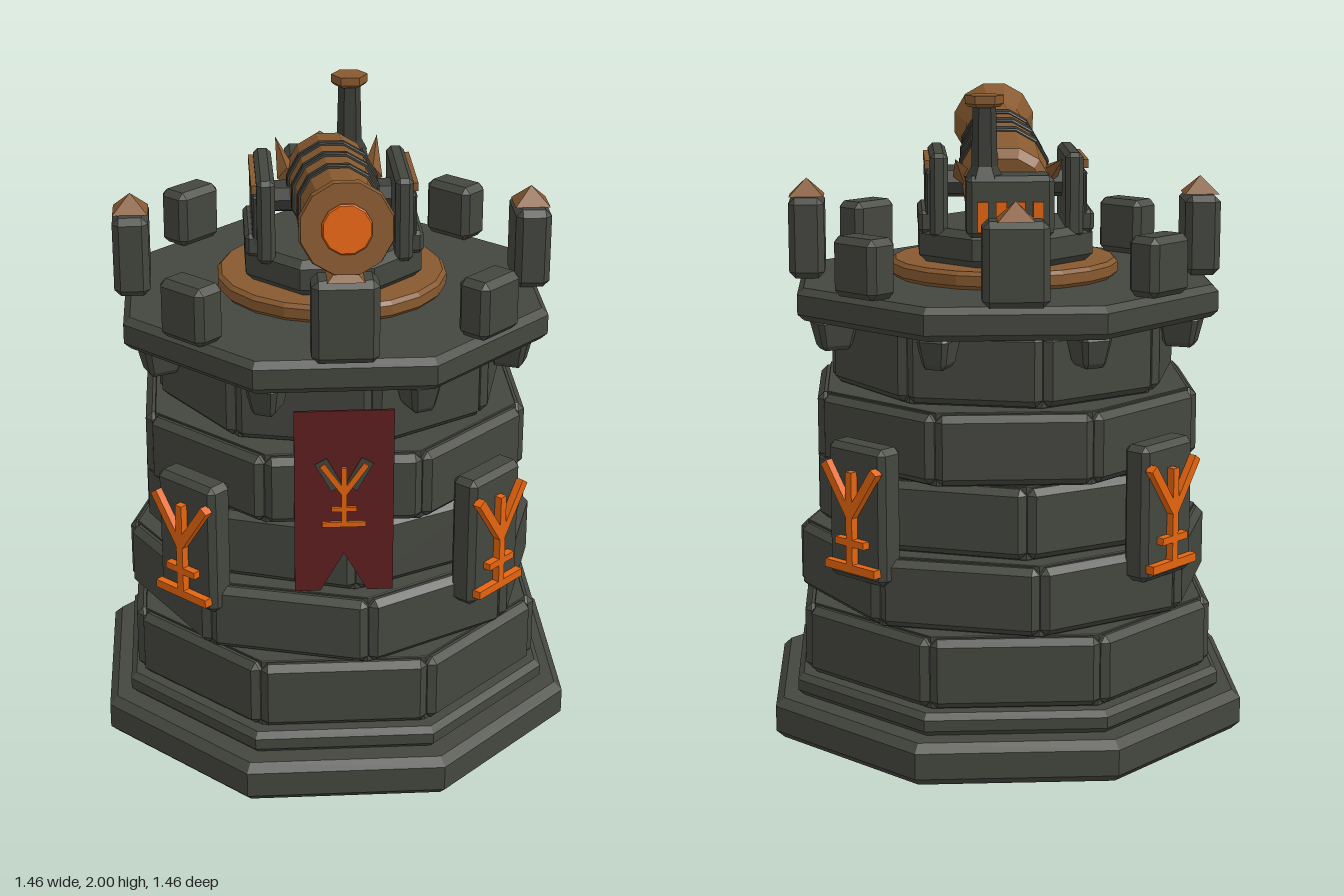
import * as THREE from 'three';
import { ConvexGeometry } from 'three/addons/geometries/ConvexGeometry.js';

const mat = (name, color) => Object.assign(new THREE.MeshStandardMaterial({ color }), { name });

export function createModel() {
  const stone = mat('dark stone', 0x44463f);
  const iron = mat('dark iron', 0x3b3d38);
  const bronze = mat('bronze', 0x87592f);
  const glow = mat('orange glow', 0xe4640f);
  const cloth = mat('red cloth', 0x5e1f20);

  const model = new THREE.Group();
  model.name = 'cannonTower';

  // Adds a faceted mesh
  function add(parent, name, geo, material, x = 0, y = 0, z = 0) {
    const g = geo.index ? geo.toNonIndexed() : geo;
    g.computeVertexNormals();
    const m = new THREE.Mesh(g, material);
    m.name = name;
    m.position.set(x, y, z);
    parent.add(m);
    return m;
  }

  // Group turned to face outwards at an angle around the tower
  function facing(name, angle) {
    const g = new THREE.Group();
    g.name = name;
    g.rotation.y = angle;
    model.add(g);
    return g;
  }

  // Box with chamfered edges; taper scales the bottom end
  function block(w, h, d, c = 0.012, taper = 1) {
    const pts = [];
    for (const sx of [-1, 1]) for (const sy of [-1, 1]) for (const sz of [-1, 1]) {
      for (let k = 0; k < 3; k++) {
        const t = sy < 0 ? taper : 1;
        pts.push(new THREE.Vector3(
          sx * t * (w / 2 - (k === 0 ? 0 : c)),
          sy * (h / 2 - (k === 1 ? 0 : c)),
          sz * t * (d / 2 - (k === 2 ? 0 : c))));
      }
    }
    return new ConvexGeometry(pts);
  }

  // Turned solid from [radius, height] pairs; radii are measured to the flats
  function turned(profile, sides) {
    const k = 1 / Math.cos(Math.PI / sides);
    const first = profile[0], last = profile[profile.length - 1];
    const pts = [[0, first[1]], ...profile, [0, last[1]]].map(([r, y]) => new THREE.Vector2(r * k, y));
    return new THREE.LatheGeometry(pts, sides, Math.PI / sides);
  }
  const slab = (r, y0, y1, c, sides = 8) =>
    turned([[r - c, y0], [r, y0 + c], [r, y1 - c], [r - c, y1]], sides);

  // Branching ornament made of glowing strokes, standing on its base bar
  function ornament(parent, x, y, z, s, depth) {
    const strokes = [
      [0, 0, 0, 0.31, 0.026], [-0.105, 0.012, 0.105, 0.012, 0.026], [-0.06, 0.092, 0.06, 0.092, 0.022],
      [0, 0.175, -0.105, 0.325, 0.028], [0, 0.175, 0.105, 0.325, 0.028],
    ];
    for (const [x0, y0, x1, y1, w] of strokes) {
      const len = Math.hypot(x1 - x0, y1 - y0);
      const m = add(parent, 'ornamentStroke', new THREE.BoxGeometry(w * s, len * s, depth), glow,
        x + (x0 + x1) / 2 * s, y + (y0 + y1) / 2 * s, z);
      m.rotation.z = -Math.atan2(x1 - x0, y1 - y0);
    }
  }

  // Stepped plinth
  add(model, 'plinth', slab(0.73, 0, 0.13, 0.025), stone);
  add(model, 'plinthStep', slab(0.66, 0.13, 0.2, 0.018), stone);

  // Courses of stone blocks: flat radius, bottom, top, turn
  const courses = [
    [0.635, 0.2, 0.425, 0], [0.612, 0.425, 0.645, -0.28], [0.557, 0.645, 0.872, -0.33],
    [0.585, 0.872, 1.095, 0], [0.513, 1.095, 1.325, -0.23],
  ];
  for (const [r, y0, y1, turn] of courses) {
    const h = y1 - y0;
    const core = add(model, 'wallCore', slab(r - 0.03, y0, y1, 0.002), stone);
    core.rotation.y = turn;
    const width = 2 * r * Math.tan(Math.PI / 8) - 0.02;
    for (let i = 0; i < 8; i++) {
      const g = facing('wallBlock', turn + i * Math.PI / 4);
      add(g, 'wallBlock', block(width, h - 0.012, 0.12, 0.02), stone, 0, (y0 + y1) / 2, r - 0.06);
    }
  }

  // Deck slab and its corbels
  add(model, 'deck', slab(0.64, 1.32, 1.42, 0.02), stone);
  for (let i = 0; i < 8; i++) {
    const g = facing('corbel', Math.PI / 8 + i * Math.PI / 4);
    add(g, 'corbel', block(0.1, 0.1, 0.13, 0.015, 0.75), stone, 0, 1.275, 0.575);
  }

  // Battlements: tall capped ones on the axes, low ones on the diagonals
  for (let i = 0; i < 4; i++) {
    const tall = facing('tallMerlon', i * Math.PI / 2);
    add(tall, 'tallMerlon', block(0.195, 0.25, 0.11, 0.02), stone, 0, 1.545, 0.615);
    const cap = new THREE.ConeGeometry(0.076, 0.055, 4).rotateY(Math.PI / 4);
    add(tall, 'merlonCap', cap, bronze, 0, 1.6965, 0.615);

    const low = facing('lowMerlon', Math.PI / 4 + i * Math.PI / 2);
    add(low, 'lowMerlon', block(0.175, 0.18, 0.11, 0.02), stone, 0, 1.51, 0.615);

    // Wall plates with glowing ornaments
    add(low, 'wallPlate', block(0.235, 0.42, 0.09, 0.018), stone, 0, 0.77, 0.625);
    ornament(low, 0, 0.593, 0.68, 1, 0.028);
  }

  // Swallow-tailed banner
  const flag = new THREE.Shape();
  [[-0.147, 1.248], [-0.147, 0.66], [-0.07, 0.66], [0, 0.785], [0.07, 0.66], [0.147, 0.66], [0.147, 1.248]]
    .forEach(([x, y], i) => (i ? flag.lineTo(x, y) : flag.moveTo(x, y)));
  add(model, 'banner', new THREE.ExtrudeGeometry(flag, { depth: 0.008, bevelEnabled: false }), cloth, 0, 0, 0.589);
  const emblem = new THREE.Group();
  emblem.name = 'bannerEmblem';
  model.add(emblem);
  for (const s of [-1, 1]) {
    const arm = add(emblem, 'emblemBacking', new THREE.BoxGeometry(0.04, 0.1, 0.004), stone, s * 0.045, 1.045, 0.599);
    arm.rotation.z = -s * 0.5;
  }
  ornament(emblem, 0, 0.877, 0.603, 0.62, 0.009);

  // Turntable
  add(model, 'turntableRing', slab(0.352, 1.42, 1.475, 0.012, 20), bronze);
  add(model, 'turntable', slab(0.268, 1.475, 1.585, 0.022), stone);

  // Carriage cheeks, mirrored
  for (const s of [-1, 1]) {
    add(model, 'carriageCheek', block(0.055, 0.26, 0.36, 0.014), stone, s * 0.207, 1.682, 0.015);
    add(model, 'cheekPanel', block(0.02, 0.16, 0.29, 0.006), iron, s * 0.238, 1.675, 0.01);
    add(model, 'cheekFoot', block(0.08, 0.07, 0.29, 0.012), stone, s * 0.23, 1.6, 0.01);
    add(model, 'cheekTrim', new THREE.BoxGeometry(0.03, 0.026, 0.31), bronze, s * 0.235, 1.778, 0.005);
  }
  add(model, 'trunnion', new THREE.CylinderGeometry(0.05, 0.05, 0.4, 8).rotateZ(Math.PI / 2), iron, 0, 1.71, 0.01);
  add(model, 'cradle', block(0.2, 0.1, 0.28, 0.015), iron, 0, 1.59, -0.03);

  // Barrel, tilted slightly upwards; its length runs along local y
  const cannon = new THREE.Group();
  cannon.name = 'cannon';
  cannon.position.y = 1.735;
  cannon.rotation.x = Math.PI / 2 - 0.145;
  model.add(cannon);
  add(cannon, 'barrel', turned([[0.105, -0.24], [0.13, -0.21], [0.131, 0.01], [0.113, 0.33],
    [0.096, 0.56], [0.133, 0.675], [0.128, 0.697]], 12), bronze);
  for (const [y, r] of [[0.02, 0.139], [0.175, 0.131], [0.33, 0.121]])
    add(cannon, 'barrelBand', slab(r, y - 0.021, y + 0.021, 0.004, 12), iron);
  add(cannon, 'muzzleGlow', slab(0.07, 0.68, 0.708, 0.004, 12), glow);

  // Swept-back horns beside the breech
  for (const s of [-1, 1]) {
    const horn = add(model, 'breechHorn', new THREE.ConeGeometry(0.034, 0.21, 4), bronze, s * 0.145, 1.773, -0.185);
    horn.quaternion.setFromUnitVectors(new THREE.Vector3(0, 1, 0), new THREE.Vector3(s * 0.15, 0.33, -0.93).normalize());
  }

  // Firebox with glowing grille, and chimney
  add(model, 'firebox', block(0.262, 0.185, 0.145, 0.016), stone, 0, 1.672, -0.288);
  for (let i = 0; i < 4; i++)
    add(model, 'grilleSlot', new THREE.BoxGeometry(0.032, 0.09, 0.02), glow, (i - 1.5) * 0.055, 1.645, -0.367);
  add(model, 'chimney', turned([[0.05, 1.755], [0.034, 1.79], [0.03, 1.975]], 6), iron, 0.075, 0, -0.305);
  add(model, 'chimneyCap', turned([[0.04, 1.965], [0.05, 1.975], [0.05, 2]], 6), bronze, 0.075, 0, -0.305);

  return model;
}
